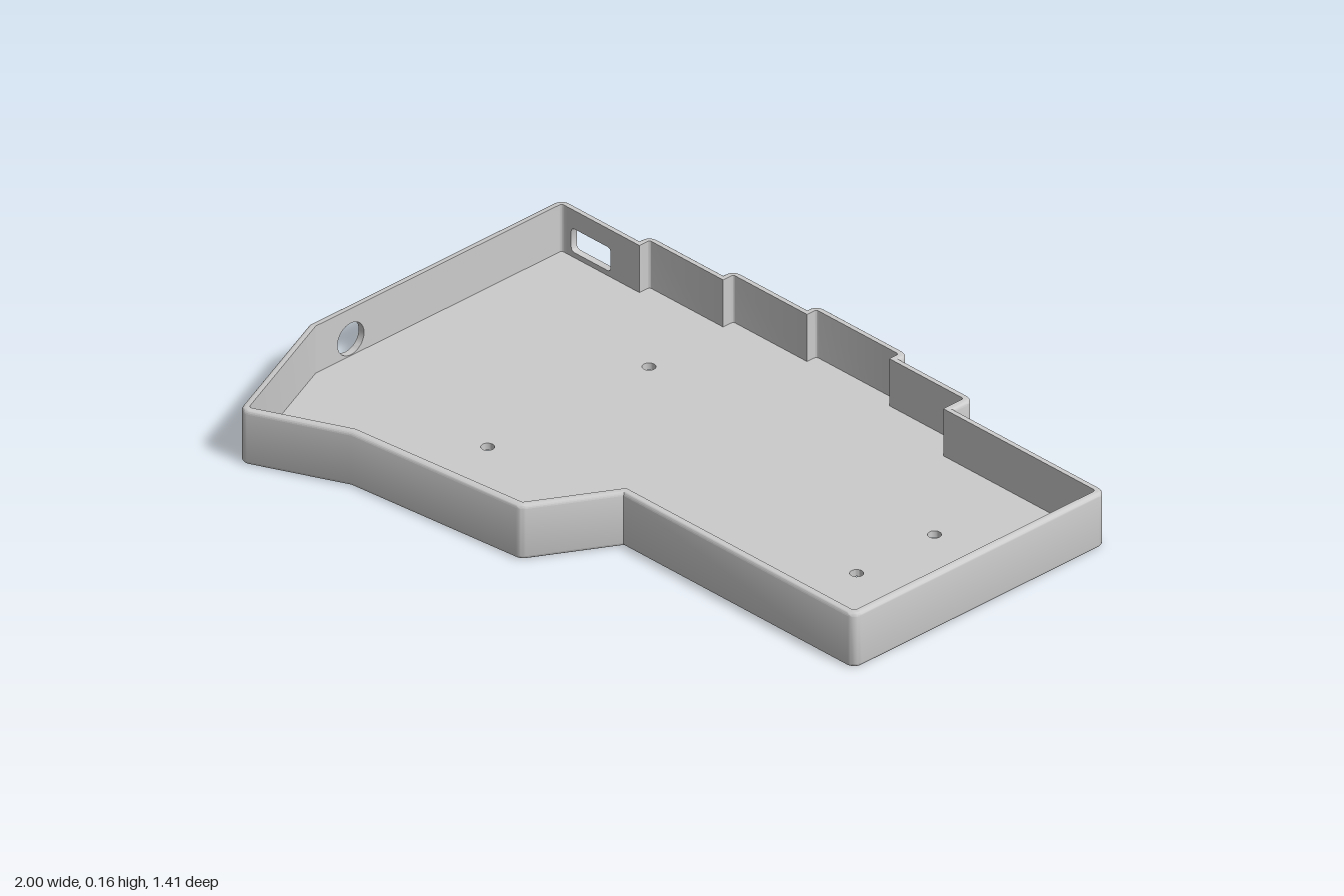
import * as THREE from 'three';
import { toCreasedNormals } from 'three/addons/utils/BufferGeometryUtils.js';

const HEIGHT = 0.16, WALL = 0.02, FLOOR = 0.02, EDGE = 0.01, RADIUS = 0.028;

// Plan outline as [x, z]; 'open' starts a stretch of wall filled by a pierced panel
const PLAN = [
  [-1, -0.6], [-0.96, -0.6, 'open'], [-0.78, -0.6], [-0.715, -0.6], [-0.715, -0.636],
  [-0.445, -0.636], [-0.445, -0.672], [-0.174, -0.672], [-0.174, -0.705], [0.168, -0.705],
  [0.168, -0.672], [0.441, -0.672], [0.441, -0.6], [1, -0.6], [1, 0.293], [0.155, 0.293],
  [0.022, 0.53], [-0.54, 0.587], [-0.82, 0.716], [-1, 0.293], [-1, 0.23, 'open'], [-1, 0.1],
];
const SCREW_HOLES = [[-0.415, -0.345], [-0.415, 0.225], [0.685, -0.295], [0.685, -0.02]];

// Round convex corners; keep concave and straight points as they are.
// Each result holds a position and the mitred inward direction.
function roundedOutline() {
  const pts = PLAN.map(([x, z]) => new THREE.Vector2(x, z));
  const inward = (d) => new THREE.Vector2(-d.y, d.x);
  const out = [];
  pts.forEach((p, i) => {
    const a = p.clone().sub(pts.at(i - 1)).normalize();
    const b = pts[(i + 1) % pts.length].clone().sub(p).normalize();
    const n0 = inward(a), n1 = inward(b);
    const miter = n0.clone().add(n1).divideScalar(1 + n0.dot(n1));
    const turn = Math.atan2(a.cross(b), a.dot(b));
    if (turn < 0.01) {
      out.push({ p, n: miter, open: PLAN[i][2] === 'open' });
      return;
    }
    const centre = p.clone().addScaledVector(miter, RADIUS);
    const steps = Math.max(2, Math.ceil(turn / 0.26));
    for (let k = 0; k <= steps; k++) {
      const n = n0.clone().rotateAround(new THREE.Vector2(), turn * k / steps);
      out.push({ p: centre.clone().addScaledVector(n, -RADIUS), n, open: false });
    }
  });
  return out;
}

// Wall section as [inset, y], from the underside up the outside and down the inside
function wallSection() {
  const s = [];
  const arc = (cy, from) => {
    for (let k = 0; k <= 4; k++) {
      const t = from + k * Math.PI / 8;
      s.push([EDGE - EDGE * Math.cos(t), cy + EDGE * Math.sin(t)]);
    }
  };
  arc(EDGE, -Math.PI / 2);
  arc(HEIGHT - EDGE, 0);
  s.push([WALL, HEIGHT], [WALL, HEIGHT - EDGE], [WALL, EDGE]);
  return s;
}

function wallGeometry(outline) {
  const section = wallSection(), pos = [];
  const at = (o, [inset, y]) => [o.p.x + o.n.x * inset, y, o.p.y + o.n.y * inset];
  outline.forEach((o, i) => {
    const next = outline[(i + 1) % outline.length];
    for (let j = 0; j < section.length - 1; j++) {
      const tall = Math.abs(section[j + 1][1] - section[j][1]) > 0.1;
      if (o.open && tall) continue;
      const a = at(o, section[j]), b = at(next, section[j]);
      const c = at(next, section[j + 1]), d = at(o, section[j + 1]);
      pos.push(...a, ...d, ...c, ...a, ...c, ...b);
    }
  });
  const g = new THREE.BufferGeometry();
  g.setAttribute('position', new THREE.Float32BufferAttribute(pos, 3));
  return toCreasedNormals(g, 0.5);
}

// Flat piece of wall from u0 to u1 with one opening
function panelGeometry(u0, u1, hole) {
  const y0 = EDGE, y1 = HEIGHT - EDGE;
  const shape = new THREE.Shape([[u0, y0], [u1, y0], [u1, y1], [u0, y1]].map((v) => new THREE.Vector2(...v)));
  shape.holes.push(hole);
  const g = new THREE.ExtrudeGeometry(shape, { depth: WALL, bevelEnabled: false, curveSegments: 16 });
  return toCreasedNormals(g, 0.5);
}

function roundedSlot(x0, x1, y0, y1, r) {
  const h = new THREE.Path(), q = Math.PI / 2;
  h.absarc(x1 - r, y1 - r, r, 0, q);
  h.absarc(x0 + r, y1 - r, r, q, 2 * q);
  h.absarc(x0 + r, y0 + r, r, 2 * q, 3 * q);
  h.absarc(x1 - r, y0 + r, r, 3 * q, 4 * q);
  h.closePath();
  return h;
}

export function createModel() {
  const group = new THREE.Group();
  group.name = 'caseTray';
  const material = new THREE.MeshStandardMaterial({ color: 0xcccccc });
  const add = (name, geometry) => {
    const mesh = new THREE.Mesh(geometry, material);
    mesh.name = name;
    group.add(mesh);
  };
  const outline = roundedOutline();

  // Rim wall with rounded outer edges
  add('rimWall', wallGeometry(outline));

  // Floor plate with screw holes
  const floor = new THREE.Shape(outline.map((o) => o.p.clone().addScaledVector(o.n, EDGE)));
  for (const [x, z] of SCREW_HOLES) {
    floor.holes.push(new THREE.Path().absarc(x, z, 0.018, 0, Math.PI * 2));
  }
  const plate = new THREE.ExtrudeGeometry(floor, { depth: FLOOR, bevelEnabled: false, curveSegments: 12 });
  plate.rotateX(Math.PI / 2).translate(0, FLOOR, 0);
  add('floorPlate', toCreasedNormals(plate, 0.6));

  // Back wall panel with the rectangular port opening
  const port = panelGeometry(-0.96, -0.78, roundedSlot(-0.945, -0.8, 0.035, 0.105, 0.012));
  add('portPanel', port.translate(0, 0, -0.6));

  // Side wall panel with the round jack opening
  const jack = panelGeometry(0.1, 0.23, new THREE.Path().absarc(0.165, 0.07, 0.047, 0, Math.PI * 2));
  add('jackPanel', jack.rotateY(-Math.PI / 2).translate(-1 + WALL, 0, 0));

  return group;
}
